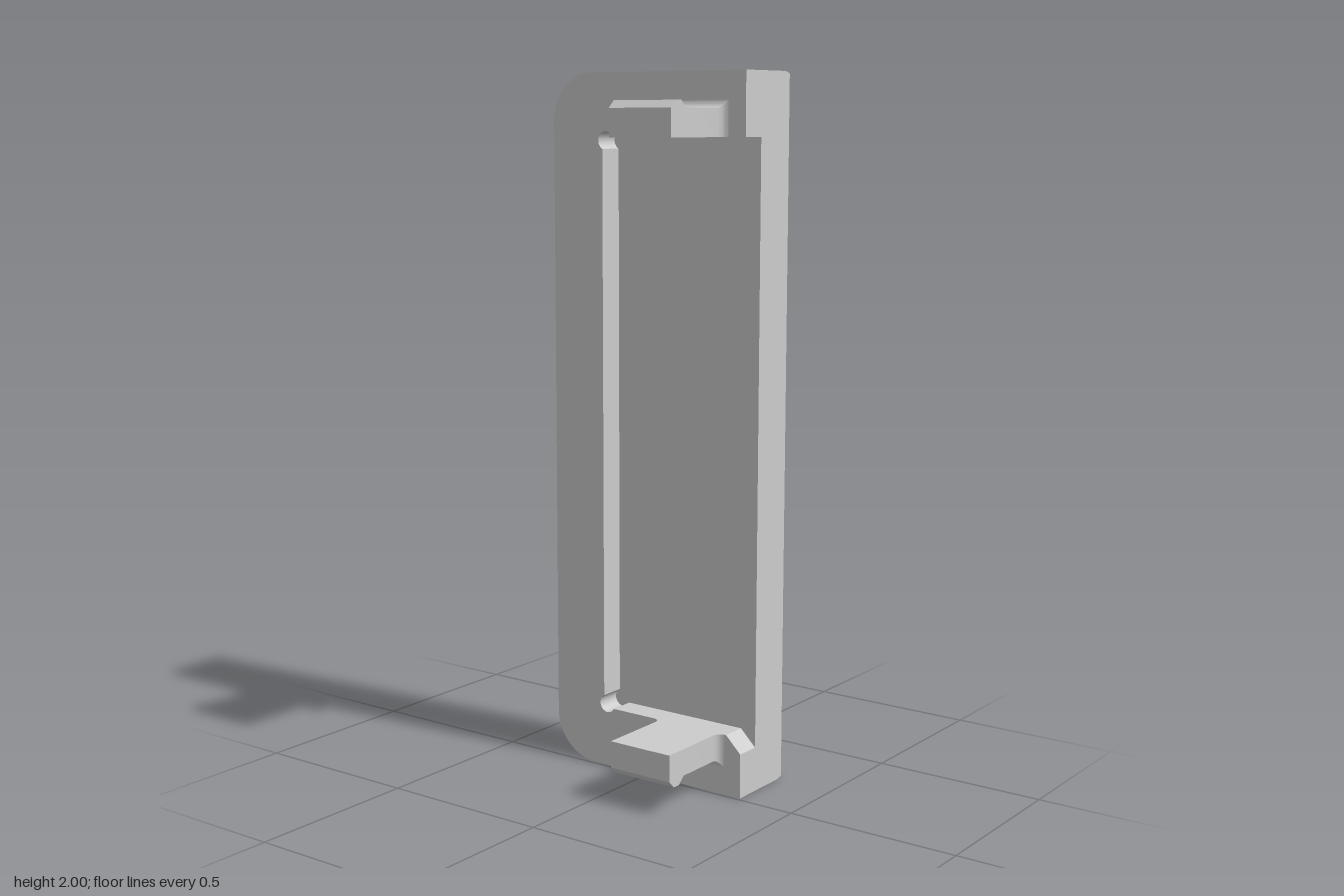
import * as THREE from 'three';
import { toCreasedNormals } from 'three/addons/utils/BufferGeometryUtils.js';

const BACK = -0.223, FLOOR = -0.085, FACE = -0.01, TIP = 0.223;
const HALF_W = 0.325, R = 0.135;
const mat = new THREE.MeshStandardMaterial({ color: 0xcccccc });

function mesh(name, geometry) {
  const m = new THREE.Mesh(toCreasedNormals(geometry, 0.2), mat);
  m.name = name;
  return m;
}

// Top edge, two rounded left corners and bottom edge, shared by both layers
function outerEdge(s) {
  s.lineTo(HALF_W, 2);
  s.absarc(-HALF_W + R, 2 - R, R, Math.PI / 2, Math.PI, false);
  s.absarc(-HALF_W + R, R, R, Math.PI, Math.PI * 1.5, false);
  s.lineTo(HALF_W, 0);
}

// Solid back plate, its rear edge slightly tapered on the three outer sides
function backPlate() {
  const s = new THREE.Shape();
  s.moveTo(HALF_W, 0);
  outerEdge(s);
  const g = new THREE.ExtrudeGeometry(s, { depth: FLOOR - BACK, steps: 7, bevelEnabled: false, curveSegments: 16 });
  g.translate(0, 0, BACK);
  const p = g.attributes.position;
  for (let i = 0; i < p.count; i++) {
    if (p.getZ(i) > BACK + 0.001) continue;
    p.setX(i, HALF_W + (p.getX(i) - HALF_W) * 0.991);
    p.setY(i, 1 + (p.getY(i) - 1) * 0.994);
  }
  return mesh('backPlate', g);
}

// C-shaped rim round the recess, with round reliefs in the inner corners
function rim() {
  const lo = 0.175, hi = 1.825, left = -0.153, r = 0.026, d = 0.012;
  const a = Math.asin(d / r);
  const s = new THREE.Shape();
  s.moveTo(HALF_W, 0);
  s.lineTo(HALF_W, 0.128);
  s.lineTo(0.277, lo);
  s.absarc(left + d, lo + d, r, -a, Math.PI / 2 + a, true);
  s.absarc(left + d, hi - d, r, -Math.PI / 2 - a, a, true);
  s.lineTo(HALF_W, hi);
  outerEdge(s);
  const g = new THREE.ExtrudeGeometry(s, { depth: FACE - FLOOR, bevelEnabled: false, curveSegments: 16 });
  g.translate(0, 0, FLOOR);
  return mesh('rim', g);
}

// Snap clip: rectangular sections along z, flared at the root, hooked at the tip
function clip() {
  const halfW = 0.1, low = 0.825, top = 0.901, fillet = 0.024;
  const sections = []; // [z, half width, top]
  for (let i = 0; i <= 8; i++) {
    const t = (i / 8) * Math.PI / 2;
    const flare = fillet * (1 - Math.sin(t));
    sections.push([FACE + fillet * (1 - Math.cos(t)), halfW + flare, top + flare]);
  }
  sections.push([0.156, halfW, top], [0.177, halfW, 0.921], [0.202, halfW, 0.921], [TIP, halfW, top]);
  const pos = [], idx = [];
  for (const [z, w, y] of sections) pos.push(-w, low, z, w, low, z, w, y, z, -w, y, z);
  for (let k = 0; k < sections.length - 1; k++) {
    for (let j = 0; j < 4; j++) {
      const a = k * 4 + j, b = k * 4 + (j + 1) % 4;
      idx.push(a, b, b + 4, a, b + 4, a + 4);
    }
  }
  const e = (sections.length - 1) * 4;
  idx.push(e, e + 1, e + 2, e, e + 2, e + 3);
  const g = new THREE.BufferGeometry();
  g.setAttribute('position', new THREE.Float32BufferAttribute(pos, 3));
  g.setIndex(idx);
  const flat = g.toNonIndexed();
  flat.computeVertexNormals();
  return mesh('clip', flat);
}

export function createModel() {
  const model = new THREE.Group();
  model.name = 'clipOnCover';
  model.add(backPlate(), rim());
  // The clip is symmetric in x, so half a turn gives the lower one
  for (const [name, turn] of [['upperClip', 0], ['lowerClip', Math.PI]]) {
    const c = clip();
    c.name = name;
    c.position.set(0.15, 1, 0);
    c.rotation.z = turn;
    model.add(c);
  }
  return model;
}
